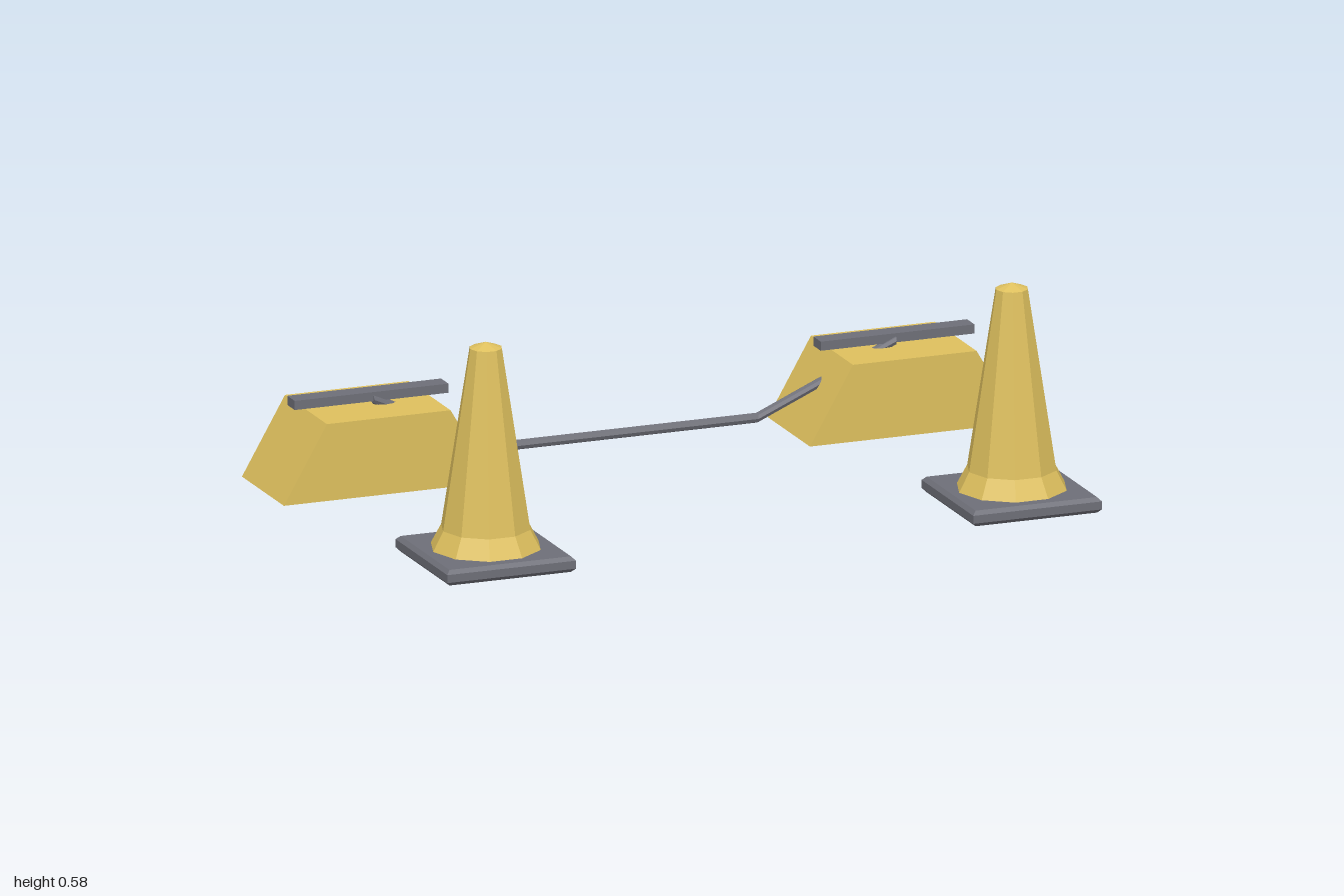
import * as THREE from 'three';

const yellow = new THREE.MeshStandardMaterial({ color: 0xdec05e });
yellow.name = 'yellow';
const grey = new THREE.MeshStandardMaterial({ color: 0x6e6f78 });
grey.name = 'grey';

function part(name, geometry, material, x = 0, y = 0, z = 0) {
  // unshared vertices give every facet its own normal
  const faceted = geometry.index ? geometry.toNonIndexed() : geometry;
  faceted.computeVertexNormals();
  const mesh = new THREE.Mesh(faceted, material);
  mesh.name = name;
  mesh.position.set(x, y, z);
  return mesh;
}

// Faceted turned shape from [radius, height] pairs, listed bottom to top
function turned(profile, sides, phiStart) {
  const points = profile.map(([r, y]) => new THREE.Vector2(r, y));
  return new THREE.LatheGeometry(points, sides, phiStart);
}

function createCone(side) {
  const cone = new THREE.Group();
  cone.name = side + 'Cone';
  // Square base plate with bevelled rim
  const s = Math.SQRT2;
  cone.add(part('coneBase', turned(
    [[0, 0], [0.165 * s, 0], [0.175 * s, 0.01], [0.175 * s, 0.031], [0.165 * s, 0.041], [0, 0.041]],
    4, Math.PI / 4), grey));
  // Ten-sided body with a flared foot and a shallow cap
  cone.add(part('coneBody', turned(
    [[0.143, 0.041], [0.116, 0.092], [0.042, 0.563], [0, 0.578]],
    10, Math.PI / 2), yellow));
  return cone;
}

function createBlock(side) {
  const block = new THREE.Group();
  block.name = side + 'Block';
  // Trapezoid block, sloped at both ends
  const outline = new THREE.Shape([
    new THREE.Vector2(-0.285, 0), new THREE.Vector2(0.285, 0),
    new THREE.Vector2(0.168, 0.202), new THREE.Vector2(-0.168, 0.202),
  ]);
  const body = new THREE.ExtrudeGeometry(outline, { depth: 0.284, bevelEnabled: false });
  block.add(part('blockBody', body, yellow, 0, 0, -0.142));
  // Handle bar floating just above the block
  block.add(part('handleBar', new THREE.BoxGeometry(0.418, 0.024, 0.05), grey, 0, 0.224, 0.001));
  return block;
}

// Bar hanging between the blocks: a rod with its rings moved along a bent path
function createLinkRod() {
  const path = [[-0.71, 0.217, -0.396], [-0.338, 0.051, -0.404], [0.338, 0.051, -0.404], [0.71, 0.217, -0.396]];
  const rod = new THREE.CylinderGeometry(0.013, 0.013, 3, 8, 3);
  rod.rotateZ(-Math.PI / 2);
  const p = rod.attributes.position;
  for (let i = 0; i < p.count; i++) {
    const [x, y, z] = path[Math.round(p.getX(i) + 1.5)];
    p.setXYZ(i, x, p.getY(i) + y, p.getZ(i) + z);
  }
  return part('linkRod', rod, grey);
}

export function createModel() {
  const model = new THREE.Group();
  model.name = 'conesAndBlocks';
  for (const [side, sign] of [['left', 1], ['right', -1]]) {
    const cone = createCone(side);
    cone.position.set(sign * 0.715, 0, 0.382);
    const block = createBlock(side);
    block.position.set(sign * 0.715, 0, -0.416);
    model.add(cone, block);
  }
  model.add(createLinkRod());
  return model;
}
